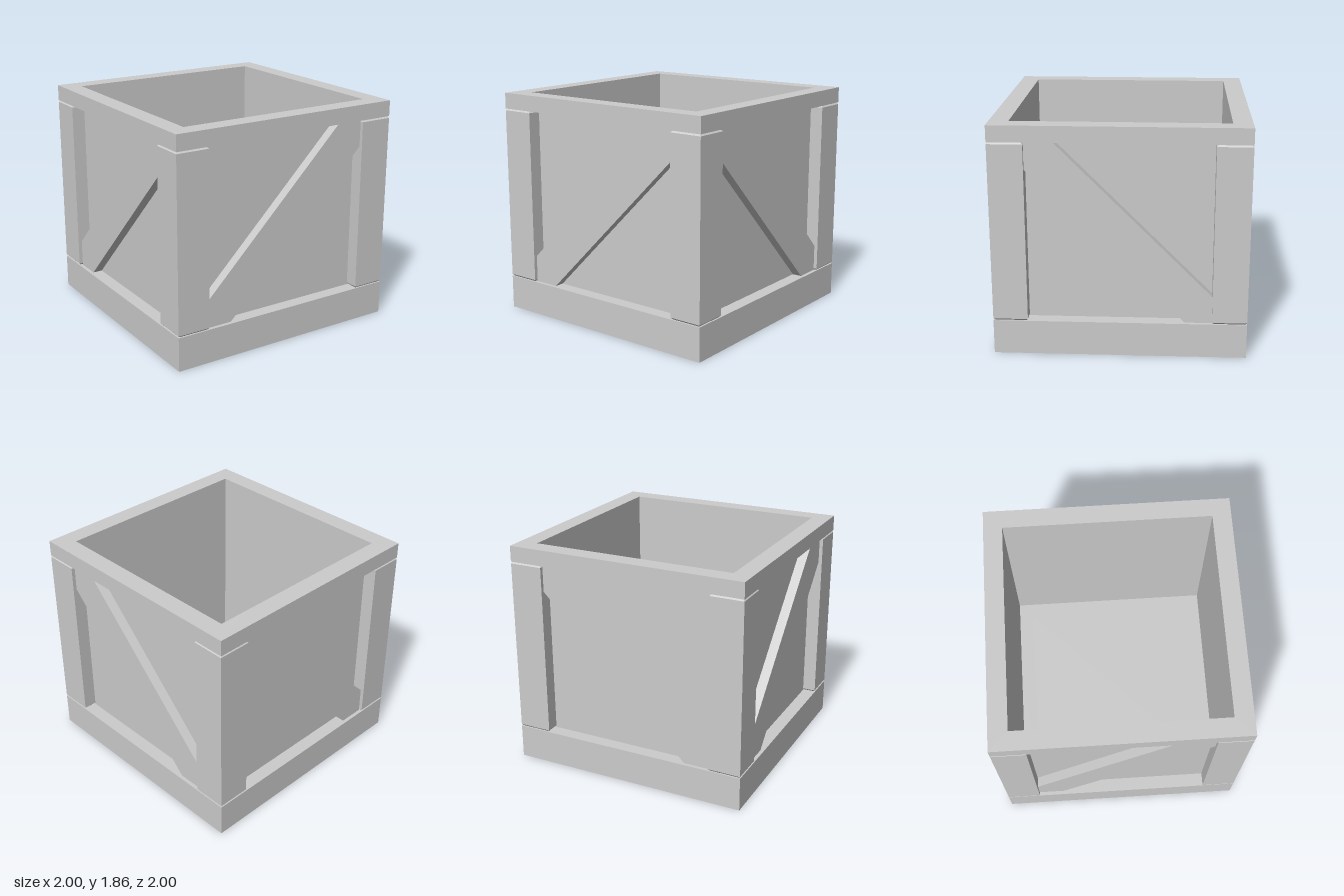
import * as THREE from 'three';

const material = new THREE.MeshStandardMaterial({ color: 0xcccccc, flatShading: true });

// Key heights and half-widths
const BASE_TOP = 0.28, RIM_BOTTOM = 1.73, TOP = 1.86;
const OUTER = 1, INNER = 0.847, PANEL = 0.89, POST = 0.725, BRACE = 0.97;

function polygon(points) {
  return new THREE.Shape(points.map(([x, y]) => new THREE.Vector2(x, y)));
}

function square(h) {
  return [[-h, -h], [h, -h], [h, h], [-h, h]];
}

// Extrude a plan shape upwards from y0 to y1, optionally chamfering its ends
function upright(name, shape, y0, y1, chamfer = 0) {
  const geometry = new THREE.ExtrudeGeometry(shape, {
    depth: y1 - y0 - 2 * chamfer,
    bevelEnabled: chamfer > 0,
    bevelThickness: chamfer,
    bevelSize: chamfer,
    bevelOffset: -chamfer,
    bevelSegments: 1,
  });
  geometry.rotateX(-Math.PI / 2);
  geometry.translate(0, y0 + chamfer, 0);
  const mesh = new THREE.Mesh(geometry, material);
  mesh.name = name;
  return mesh;
}

// Square ring with the given outer and inner half-widths
function ring(name, outer, inner, y0, y1) {
  const shape = polygon(square(outer));
  shape.holes.push(polygon(square(inner)));
  return upright(name, shape, y0, y1);
}

export function createModel() {
  const crate = new THREE.Group();
  crate.name = 'crate';

  // Heavy base frame with a floor recessed from below
  crate.add(ring('baseFrame', OUTER, POST, 0, BASE_TOP));
  crate.add(upright('floor', polygon(square(POST)), 0.128, BASE_TOP));

  // Thin inner walls and the top rim
  crate.add(ring('wallPanels', PANEL, INNER, BASE_TOP, RIM_BOTTOM));
  crate.add(ring('topRim', OUTER, INNER, RIM_BOTTOM, TOP));

  // L-shaped corner posts with chamfered ends
  const angle = polygon([
    [OUTER, POST], [OUTER, OUTER], [POST, OUTER],
    [POST, 0.87], [0.87, 0.87], [0.87, POST],
  ]);
  for (let i = 0; i < 4; i++) {
    const post = upright('cornerPost', angle, BASE_TOP, RIM_BOTTOM, 0.015);
    post.rotation.y = i * Math.PI / 2;
    crate.add(post);
  }

  // Diagonal braces, cut to fit between posts, base and rim
  const brace = new THREE.ExtrudeGeometry(polygon([
    [-POST, BASE_TOP], [-0.51, BASE_TOP], [POST, 1.51],
    [POST, RIM_BOTTOM], [0.505, RIM_BOTTOM], [-POST, 0.5],
  ]), { depth: BRACE - PANEL, bevelEnabled: false });
  const mirrored = new THREE.ExtrudeGeometry(polygon([
    [POST, BASE_TOP], [0.51, BASE_TOP], [-POST, 1.51],
    [-POST, RIM_BOTTOM], [-0.505, RIM_BOTTOM], [POST, 0.5],
  ]), { depth: BRACE - PANEL, bevelEnabled: false });
  const sides = [
    ['frontBrace', brace, 0],
    ['leftBrace', mirrored, Math.PI / 2],
    ['backBrace', mirrored, Math.PI],
    ['rightBrace', brace, -Math.PI / 2],
  ];
  for (const [name, geometry, turn] of sides) {
    const mesh = new THREE.Mesh(geometry, material);
    mesh.name = name;
    mesh.rotation.y = turn;
    mesh.position.set(Math.sin(turn) * PANEL, 0, Math.cos(turn) * PANEL);
    crate.add(mesh);
  }

  return crate;
}
